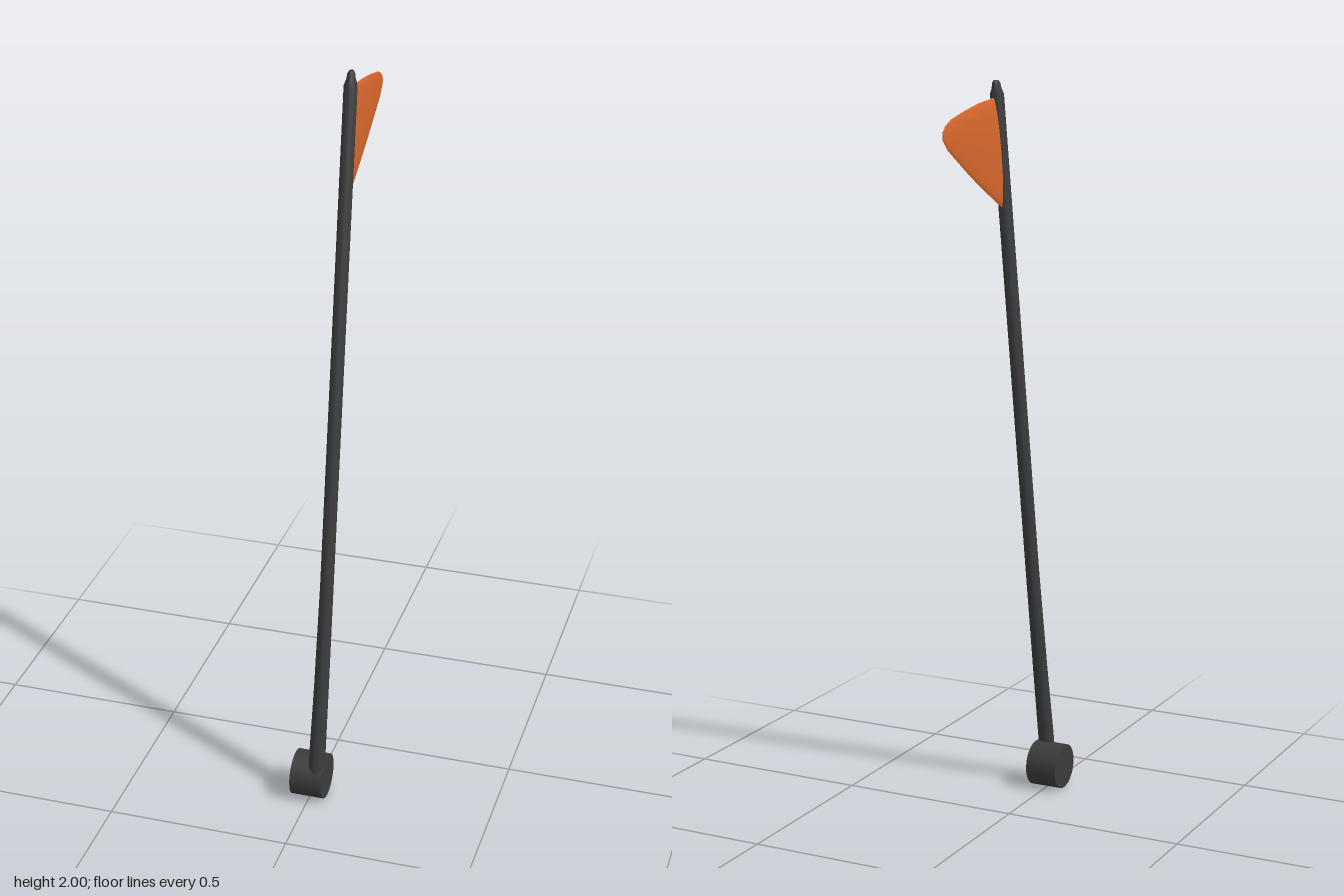
import * as THREE from 'three';
import { toCreasedNormals } from 'three/addons/utils/BufferGeometryUtils.js';

// Skins a list of rings (each an array of Vector3) and closes both ends.
function loft(rings, crease) {
  const n = rings[0].length, index = [];
  const points = rings.flat();
  for (let r = 0; r < rings.length - 1; r++) {
    for (let i = 0; i < n; i++) {
      const a = r * n + i, b = r * n + (i + 1) % n;
      index.push(a, a + n, b, b, a + n, b + n);
    }
  }
  const last = (rings.length - 1) * n;
  for (let i = 1; i < n - 1; i++) {
    index.push(0, i, i + 1);
    index.push(last, last + i + 1, last + i);
  }
  const g = new THREE.BufferGeometry().setFromPoints(points);
  g.setIndex(index);
  return toCreasedNormals(g, crease);
}

function ring(n, fn) {
  return Array.from({ length: n }, (_, i) => {
    const a = (i / n) * Math.PI * 2;
    return fn(Math.cos(a), Math.sin(a));
  });
}

export function createModel() {
  const group = new THREE.Group();
  const dark = new THREE.MeshStandardMaterial({ color: 0x3c3c3c });
  const orange = new THREE.MeshStandardMaterial({ color: 0xd9682d });
  const add = (name, geometry, material) => {
    const mesh = new THREE.Mesh(geometry, material);
    mesh.name = name;
    group.add(mesh);
    return mesh;
  };

  // Pivot: short cylinder lying across the model
  const pivot = add('pivot', new THREE.CylinderGeometry(0.0625, 0.0625, 0.09, 32), dark);
  pivot.rotation.z = Math.PI / 2;
  pivot.position.set(-0.001, 0.0625, 0.258);

  // Leaning pole, widened at the foot, with a small stepped tip: [y, centre x, centre z, radius x, radius z]
  const leanZ = (y) => 0.303 - 0.1622 * y;
  const stations = [
    [0.05, 0.0225, leanZ(0.05), 0.0225, 0.022],
    [0.13, 0.0225, leanZ(0.13), 0.0225, 0.022],
    [0.35, 0.0252, leanZ(0.35), 0.0198, 0.0225],
    [0.64, 0.027, leanZ(0.64), 0.0178, 0.022],
    [1.965, 0.027, leanZ(1.965), 0.0172, 0.0215],
    [1.98, 0.027, leanZ(1.98), 0.0115, 0.0165],
    [1.993, 0.027, leanZ(1.993), 0.0095, 0.0145],
    [2.0, 0.027, leanZ(2.0), 0.006, 0.009],
  ];
  add('pole', loft(stations.map(([y, cx, cz, rx, rz]) =>
    ring(20, (c, s) => new THREE.Vector3(cx + rx * c, y, cz + rz * s))), 0.6), dark);

  // Flag: lens sections thinning toward a rounded tip: [top y, top z, bottom y, bottom z, half thickness]
  const sections = [
    [1.957, -0.02, 1.663, 0.022, 0.0097],
    [1.947, -0.12, 1.722, -0.09, 0.0078],
    [1.932, -0.2, 1.767, -0.17, 0.0058],
    [1.916, -0.27, 1.81, -0.24, 0.0038],
    [1.902, -0.3, 1.84, -0.288, 0.0024],
    [1.888, -0.313, 1.866, -0.313, 0.0012],
  ];
  add('flag', loft(sections.map(([ty, tz, by, bz, w]) =>
    ring(24, (c, s) => {
      const k = (1 + s) / 2;
      return new THREE.Vector3(0.027 + w * c, by + (ty - by) * k, bz + (tz - bz) * k);
    })), 0.7), orange);

  return group;
}
